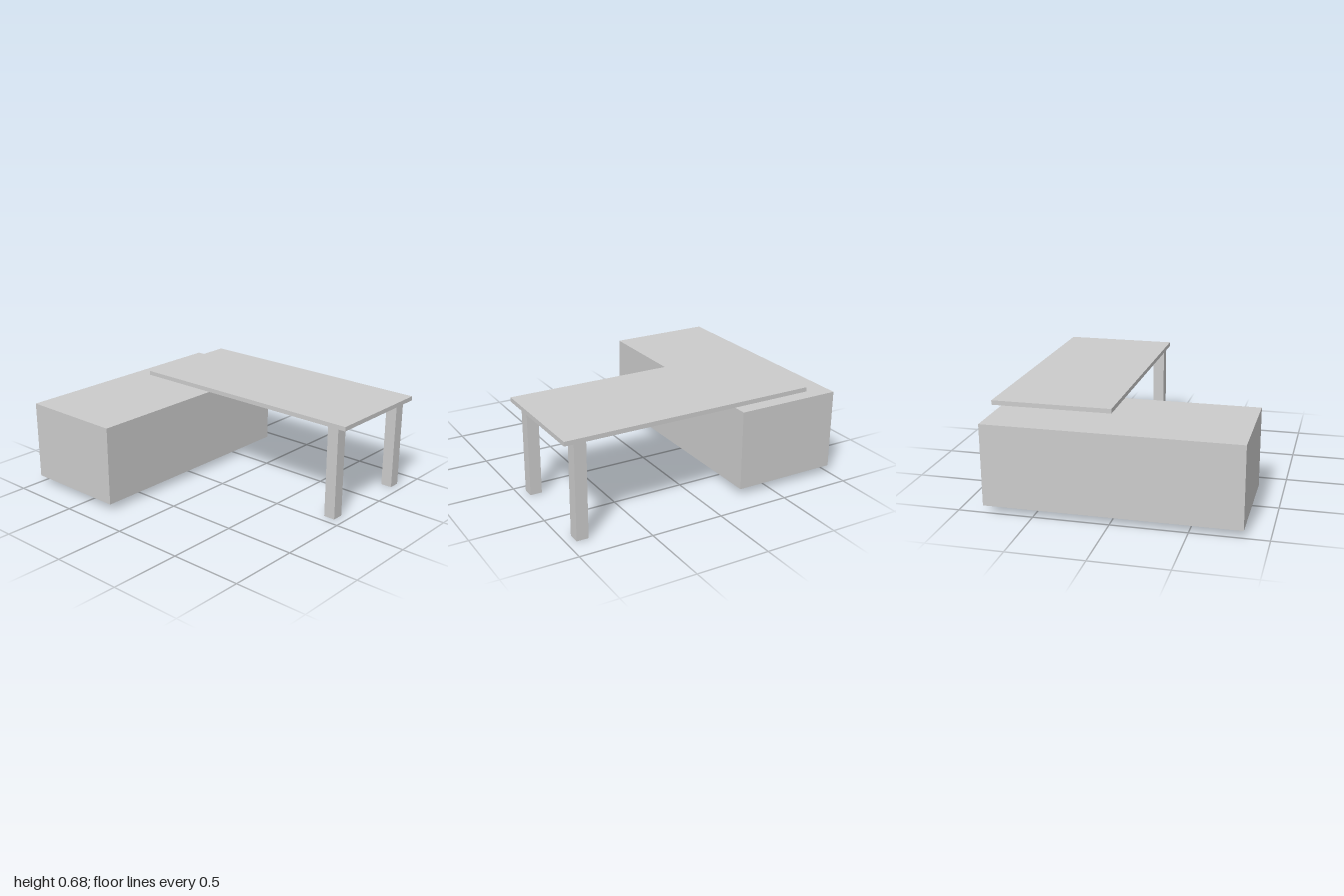
import * as THREE from 'three';

export function createModel() {
  const group = new THREE.Group();
  const material = new THREE.MeshStandardMaterial({ color: 0xcccccc, flatShading: true });

  // Box given by its min and max along each axis
  function addBox(name, [x0, x1], [y0, y1], [z0, z1]) {
    const mesh = new THREE.Mesh(new THREE.BoxGeometry(x1 - x0, y1 - y0, z1 - z0), material);
    mesh.position.set((x0 + x1) / 2, (y0 + y1) / 2, (z0 + z1) / 2);
    mesh.name = name;
    group.add(mesh);
  }

  // Low side cabinet, raised slightly off the floor
  addBox('cabinet', [-1, -0.265], [0.048, 0.595], [-0.832, 0.838]);

  // Desktop overhanging the cabinet
  addBox('desktop', [-0.76, 1], [0.646, 0.676], [-0.838, -0.042]);

  // Two square legs at the free end
  for (const [name, z] of [['frontLeg', -0.1], ['backLeg', -0.792]]) {
    addBox(name, [0.855, 0.936], [0, 0.646], [z - 0.0405, z + 0.0405]);
  }

  return group;
}
